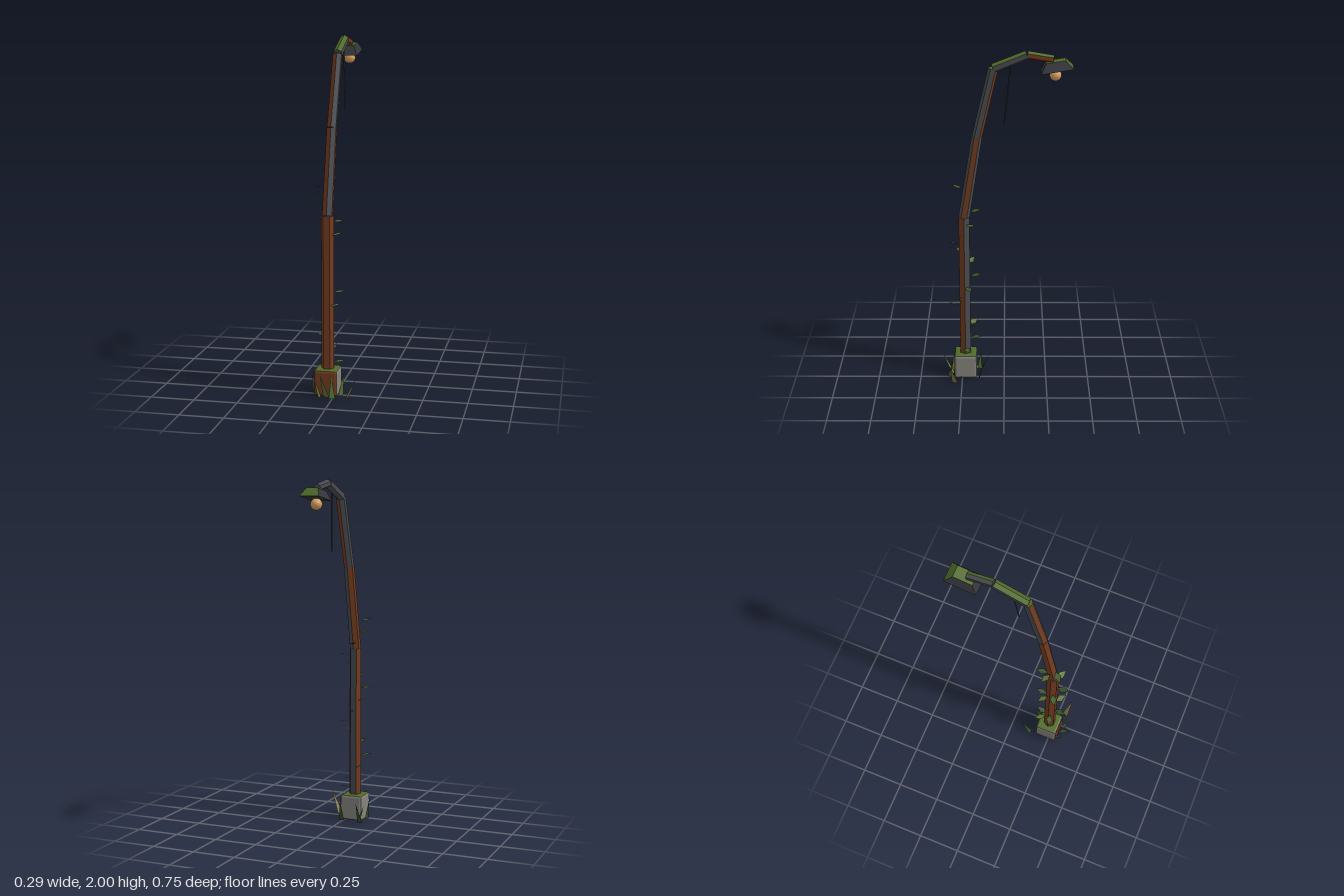
import * as THREE from 'three';
import { RoundedBoxGeometry } from 'three/addons/geometries/RoundedBoxGeometry.js';

const mat = (color, side = THREE.FrontSide) =>
  new THREE.MeshStandardMaterial({ color, flatShading: true, side });

export function createModel() {
  const group = new THREE.Group();
  const V = (x, y, z) => new THREE.Vector3(x, y, z);
  const steel = mat(0x4a4c50), rust = mat(0x743c20), moss = mat(0x4f6a28);
  const stone = mat(0x86837c), bulbMat = mat(0xd8a060), dark = mat(0x34363a);
  const leafMats = [0x45662f, 0x345028, 0x5f7436].map(c => mat(c, THREE.DoubleSide));
  const dryMat = mat(0x807848, THREE.DoubleSide);
  const paint = { S: steel, R: rust, M: moss };

  const add = (name, geometry, material) => {
    const mesh = new THREE.Mesh(geometry, material);
    mesh.name = name;
    group.add(mesh);
    return mesh;
  };

  // Six-sided bar between two points; one paint letter per facet, the last for the caps
  const bar = (name, a, b, r0, r1, paints, twist = 0) => {
    const geo = new THREE.CylinderGeometry(r1, r0, a.distanceTo(b), 6);
    geo.clearGroups();
    for (let i = 0; i < 6; i++) geo.addGroup(i * 6, 6, i);
    geo.addGroup(36, 36, 6);
    geo.rotateY(twist);
    const mesh = add(name, geo, [...paints].map(p => paint[p]));
    mesh.position.copy(a).lerp(b, 0.5);
    mesh.quaternion.setFromUnitVectors(V(0, 1, 0), b.clone().sub(a).normalize());
  };

  // Chamfered footing block with a mossy top
  add('base', new RoundedBoxGeometry(0.135, 0.15, 0.135, 1, 0.014),
    [stone, stone, moss, rust, rust, stone]).position.set(-0.045, 0.075, 0.23);

  // Bent pole and arm
  const p = [V(-0.045, 0.13, 0.23), V(-0.045, 1.02, 0.23), V(-0.036, 1.5, 0.153),
    V(-0.023, 1.9, 0.06), V(-0.022, 1.975, -0.125), V(-0.022, 1.952, -0.268)];
  bar('lowerPole', p[0], p[1], 0.036, 0.036, 'RRSSRRS', -Math.PI / 6);
  bar('middlePole', p[1], p[2], 0.032, 0.03, 'SRSRRRS');
  bar('upperPole', p[2], p[3], 0.029, 0.028, 'SSRSSRM');
  bar('arm', p[3], p[4], 0.027, 0.026, 'MSSSSMS');
  bar('armTip', p[4], p[5], 0.023, 0.022, 'MRRSSSS');

  // Tilted lamp shade: a four-sided frustum with a mossy top and back
  const shadeGeo = new THREE.CylinderGeometry(0.6, 1, 0.05, 4, 1, false, Math.PI / 4);
  shadeGeo.scale(0.113 / Math.SQRT2, 1, 0.18 / Math.SQRT2);
  shadeGeo.clearGroups();
  [0, 1, 0, 0, 1, 0].forEach((m, i) => shadeGeo.addGroup(i < 4 ? i * 6 : 24 + (i - 4) * 12, i < 4 ? 6 : 12, m));
  const shade = add('lampShade', shadeGeo, [dark, moss]);
  shade.position.set(-0.023, 1.918, -0.284);
  shade.rotation.x = 0.16;

  // Bulb
  const bulb = add('bulb', new THREE.IcosahedronGeometry(0.033, 2), bulbMat);
  bulb.position.set(-0.023, 1.863, -0.28);

  // Loose cable hanging from the arm
  const cable = new THREE.CatmullRomCurve3(
    [V(-0.008, 1.925, -0.035), V(0.003, 1.7, -0.012), V(0.006, 1.59, 0)]);
  add('cable', new THREE.TubeGeometry(cable, 4, 0.004, 4), dark);

  // Thin flat shape from a fan of points
  const fan = pts => {
    const geo = new THREE.BufferGeometry().setFromPoints(pts);
    geo.setIndex(pts.length === 3 ? [0, 1, 2] : [0, 1, 2, 0, 2, 3]);
    geo.computeVertexNormals();
    return geo;
  };

  // Climbing leaves spiralling up the pole
  for (let i = 0; i < 16; i++) {
    const lift = 0.008 + 0.004 * (i % 3);
    const leaf = add('leaf', fan([V(0, 0, 0.03), V(0.02, lift, 0.065),
      V(0, lift, 0.103), V(-0.02, 0.002, 0.062)]), leafMats[i % 3]);
    leaf.position.set(-0.045, 0.185 + 0.0665 * i, 0.23);
    leaf.rotation.y = THREE.MathUtils.degToRad(62 * (i - 10));
  }

  // Grass blades around the footing: base x, base z, tip x, y, z, width
  const blades = [
    [0.077, 0.292, 0.142, 0.14, 0.316, 0.04],
    [-0.115, 0.13, -0.113, 0.13, 0.07, 0.03],
    [-0.038, 0.305, -0.058, 0.145, 0.375, 0.04],
    [0.0, 0.33, -0.012, 0.12, 0.3, 0.038],
    [-0.118, 0.235, -0.138, 0.125, 0.225, 0.03],
    [0.036, 0.265, 0.046, 0.13, 0.21, 0.03],
    [-0.1, 0.15, -0.135, 0.1, 0.14, 0.03],
    [0.01, 0.15, 0.005, 0.13, 0.115, 0.03],
    [-0.075, 0.31, -0.115, 0.11, 0.3, 0.03],
  ];
  blades.forEach(([x, z, tx, ty, tz, w], i) => {
    const side = V(z - tz, 0, tx - x).setLength(w / 2);
    add('grassBlade', fan([V(x, 0, z).add(side), V(x, 0, z).sub(side), V(tx, ty, tz)]),
      i === 0 ? dryMat : leafMats[i % 3]);
  });

  return group;
}
